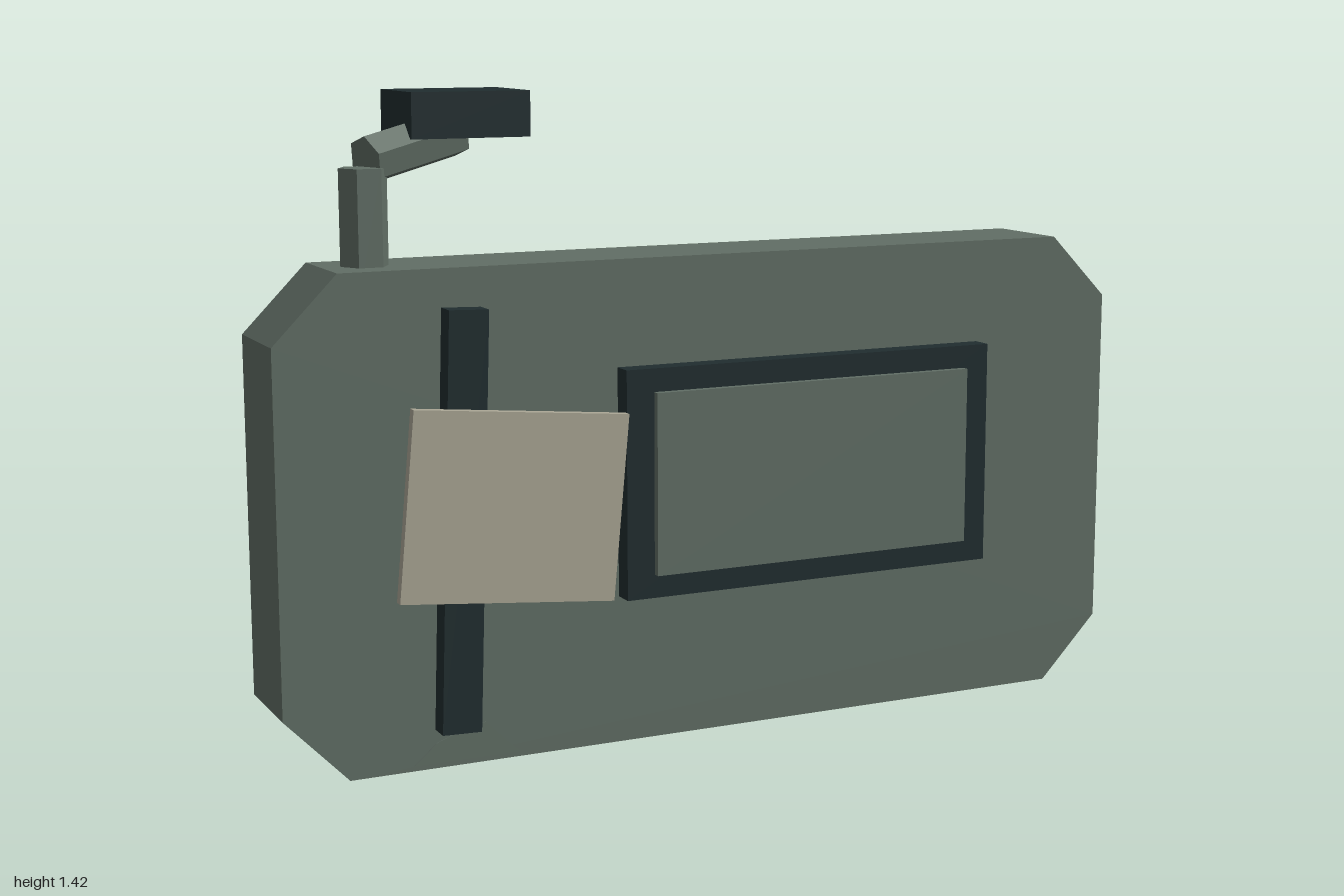
import * as THREE from 'three';

const mat = (name, color) => {
  const m = new THREE.MeshStandardMaterial({ color });
  m.name = name;
  return m;
};

export function createModel() {
  const model = new THREE.Group();
  const green = mat('grey green', 0x616e65);
  const dark = mat('dark slate', 0x202d2f);
  const beige = mat('beige', 0xa9a594);

  const add = (name, geometry, material, x = 0, y = 0, z = 0, tilt = 0) => {
    const mesh = new THREE.Mesh(geometry, material);
    mesh.name = name;
    mesh.position.set(x, y, z);
    mesh.rotation.z = tilt;
    model.add(mesh);
    return mesh;
  };
  // Box between two corners
  const slab = (name, material, [x0, y0, z0], [x1, y1, z1]) =>
    add(name, new THREE.BoxGeometry(x1 - x0, y1 - y0, z1 - z0), material,
      (x0 + x1) / 2, (y0 + y1) / 2, (z0 + z1) / 2);
  const plate = (points, depth) => new THREE.ExtrudeGeometry(
    new THREE.Shape(points.map(([x, y]) => new THREE.Vector2(x, y))),
    { depth, bevelEnabled: false });
  // Six-sided rod between two points
  const rod = (name, from, to, radius, turn) => {
    const a = new THREE.Vector3(...from), b = new THREE.Vector3(...to);
    const geometry = new THREE.CylinderGeometry(radius, radius, a.distanceTo(b), 6).toNonIndexed();
    geometry.rotateY(turn);
    geometry.computeVertexNormals();
    const mesh = add(name, geometry, green);
    mesh.position.copy(a).add(b).multiplyScalar(0.5);
    mesh.quaternion.setFromUnitVectors(new THREE.Vector3(0, 1, 0), b.sub(a).normalize());
  };

  // Body with cut corners
  add('body', plate([
    [-0.86, 0], [0.86, 0], [1, 0.145], [1, 0.92],
    [0.86, 1.063], [-0.86, 1.063], [-1, 0.92], [-1, 0.145],
  ], 0.222), green, 0, 0, -0.106);

  // Framed panel on the front
  slab('panelFrame', dark, [-0.247, 0.328, 0.11], [0.653, 0.831, 0.164]);
  slab('panel', green, [-0.183, 0.38, 0.16], [0.59, 0.78, 0.181]);

  // Leaning bar with a tilted card in front of it
  add('bar', new THREE.BoxGeometry(0.087, 0.897, 0.056), dark, -0.613, 0.532, 0.136, -0.034);
  add('card', new THREE.BoxGeometry(0.48, 0.404, 0.021), beige, -0.508, 0.562, 0.1745, -0.093);

  // Low mound at the foot of the bar
  add('mound', plate([
    [-0.72, 0.012], [-0.483, 0.012], [-0.558, 0.088], [-0.625, 0.072], [-0.67, 0.055],
  ], 0.006), green, 0, 0, 0.112);

  // Post, bent arm and head on top
  rod('post', [-0.767, 1.0, 0.005], [-0.767, 1.265, 0.005], 0.052, Math.PI / 6);
  rod('arm', [-0.755, 1.278, -0.008], [-0.535, 1.328, -0.082], 0.053, 0);
  slab('head', dark, [-0.663, 1.32, -0.185], [-0.4, 1.417, 0.016]);

  return model;
}
